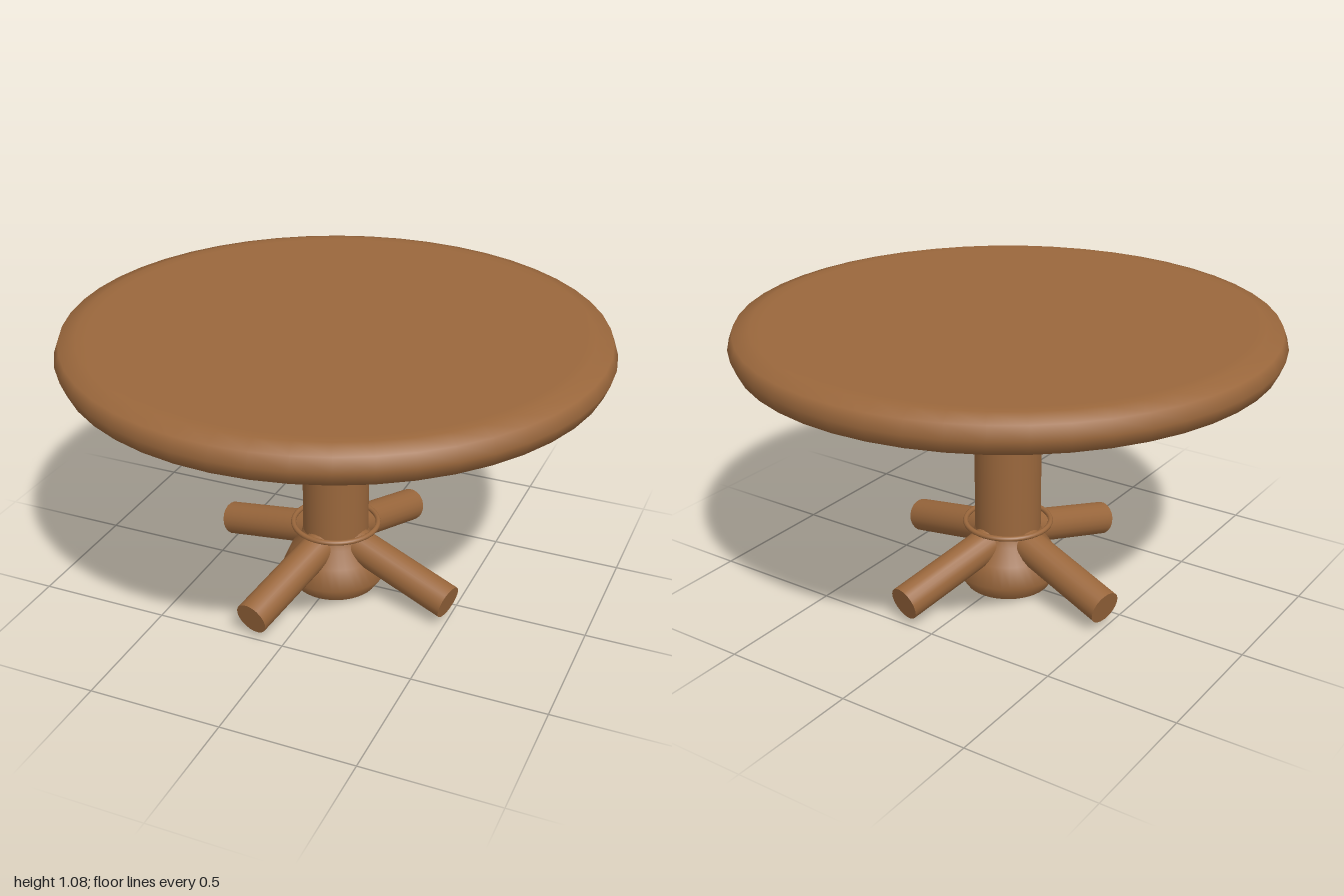
import * as THREE from 'three';

export function createModel() {
  const group = new THREE.Group();
  const wood = new THREE.MeshStandardMaterial({ color: 0x9a673c });
  wood.name = 'brown wood';

  const add = (name, geometry) => {
    const mesh = new THREE.Mesh(geometry, wood);
    mesh.name = name;
    group.add(mesh);
    return mesh;
  };
  // Turned part from [radius, height] pairs, listed from bottom to top
  const turned = (name, profile, segments) =>
    add(name, new THREE.LatheGeometry(profile.map(([r, y]) => new THREE.Vector2(r, y)), segments));
  const ring = (name, radius, tube, y, segments) => {
    const mesh = add(name, new THREE.TorusGeometry(radius, tube, 10, segments));
    mesh.rotation.x = Math.PI / 2;
    mesh.position.y = y;
  };

  // Round top with a soft rim and a bead underneath
  turned('tableTop', [
    [0, 0.947], [0.86, 0.947], [0.91, 0.95], [0.98, 0.965], [1, 1.015],
    [0.982, 1.062], [0.92, 1.08], [0.88, 1.08], [0, 1.08],
  ], 48);
  ring('undersideBead', 0.888, 0.012, 0.937, 64);

  // Pedestal: flared bracket, column, collar ring and bulbous hub
  turned('topBracket', [[0.125, 0.78], [0.228, 0.855], [0.31, 0.948]], 40);
  add('column', new THREE.CylinderGeometry(0.126, 0.126, 0.62, 40)).position.y = 0.49;
  ring('collarRing', 0.163, 0.01, 0.257, 48);
  turned('hub', [[0.163, 0], [0.207, 0.065], [0.175, 0.14], [0.135, 0.2], [0.122, 0.25]], 40);
  const base = add('hubBase', new THREE.CircleGeometry(0.163, 40));
  base.rotation.x = Math.PI / 2;

  // Four round legs sloping down from the hub, turned slightly off the axes
  const inner = new THREE.Vector3(0.05, 0.207, 0);
  const outer = new THREE.Vector3(0.518, 0.089, 0);
  const axis = outer.clone().sub(inner);
  for (let i = 0; i < 4; i++) {
    const pivot = new THREE.Group();
    pivot.name = 'leg' + (i + 1);
    const leg = new THREE.Mesh(new THREE.CylinderGeometry(0.065, 0.065, axis.length(), 20), wood);
    leg.name = 'legRod';
    leg.position.copy(inner).add(outer).multiplyScalar(0.5);
    leg.quaternion.setFromUnitVectors(new THREE.Vector3(0, 1, 0), axis.clone().normalize());
    pivot.add(leg);
    pivot.rotation.y = -0.235 + i * Math.PI / 2;
    group.add(pivot);
  }
  return group;
}
